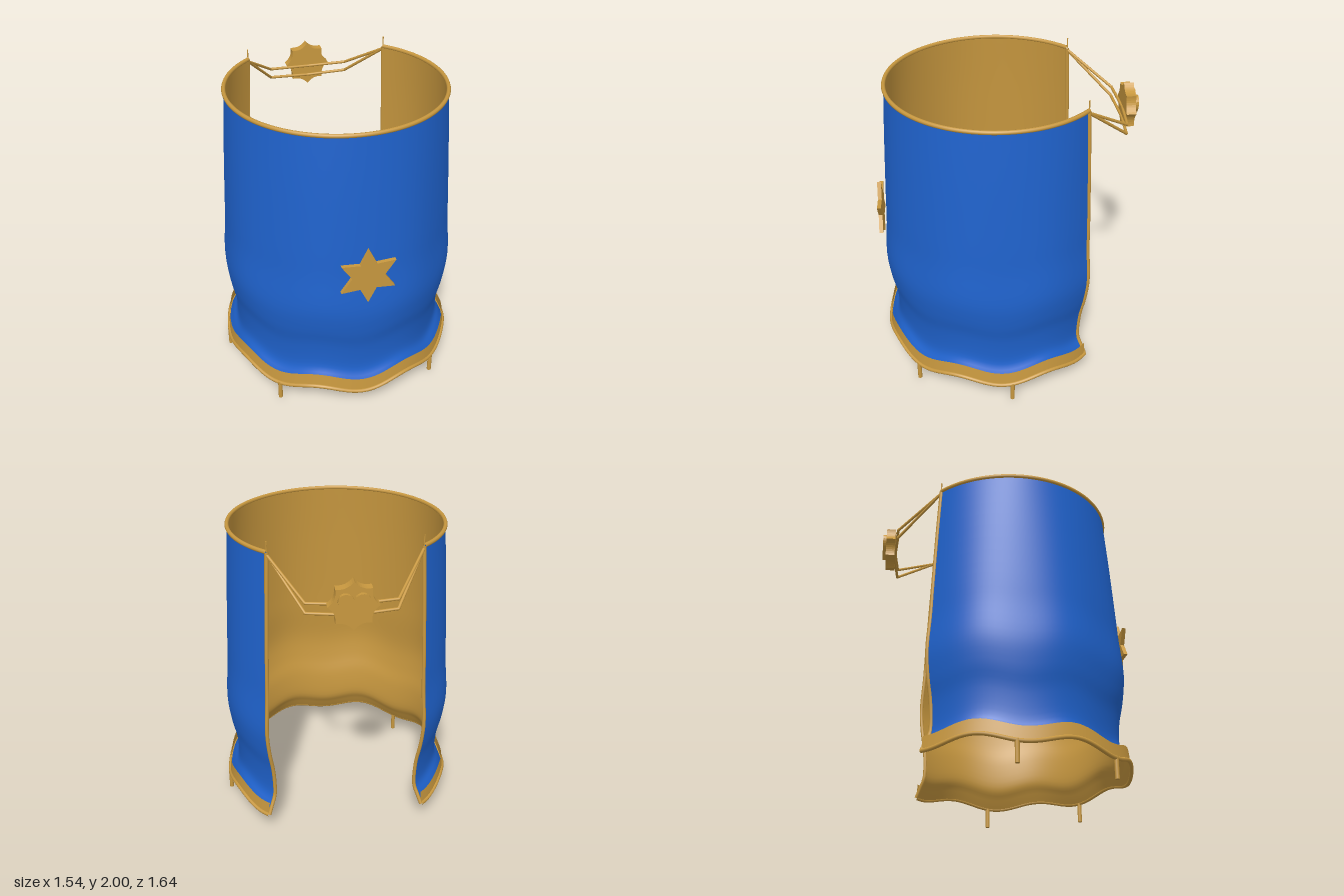
import * as THREE from 'three';

const gold = new THREE.MeshStandardMaterial({ color: 0xc8983f });
const blue = new THREE.MeshStandardMaterial({ color: 0x1f62cc });
const V = (x, y, z) => new THREE.Vector3(x, y, z);
const CZ = 0.05, TOP = 1.935, END = THREE.MathUtils.degToRad(138);

// radius against height, from hem to rim
const profile = new THREE.SplineCurve([
  [0.755, 0.14], [0.725, 0.2], [0.692, 0.28], [0.70, 0.45], [0.73, 0.6], [0.746, 0.77],
  [0.728, 1.0], [0.718, 1.2], [0.695, 1.6], [0.672, TOP],
].map(p => new THREE.Vector2(...p)));

const hem = a => 0.15 - 0.025 * Math.cos(8 * a);
const polar = (a, r, y) => V(r * Math.sin(a), y, CZ + r * Math.cos(a));

// point on the cloth: a = angle from the front, v = 0 at the hem to 1 at the rim
function clothPoint(a, v, inset = 0) {
  const p = profile.getPoint(v);
  const y = hem(a) + (TOP - hem(a)) * (p.y - 0.14) / (TOP - 0.14);
  const fold = -0.005 * Math.cos(8 * a) * Math.sin(Math.PI * v);
  return polar(a, p.x + fold - inset, y);
}

// curved sheet round the body from a point function
function sheet(point, nu, nv, inward) {
  const pos = [], index = [];
  for (let j = 0; j <= nv; j++) for (let i = 0; i <= nu; i++) {
    pos.push(...point(-END + 2 * END * i / nu, j / nv).toArray());
    if (i === nu || j === nv) continue;
    const a = j * (nu + 1) + i, b = a + 1, d = a + nu + 1, c = d + 1;
    index.push(...(inward ? [a, c, b, a, d, c] : [a, b, c, a, c, d]));
  }
  const g = new THREE.BufferGeometry();
  g.setAttribute('position', new THREE.Float32BufferAttribute(pos, 3));
  g.setIndex(index);
  g.computeVertexNormals();
  return g;
}

// tube through sampled points
function tube(fn, n, r) {
  const pts = Array.from({ length: n + 1 }, (_, i) => fn(i / n));
  return new THREE.TubeGeometry(new THREE.CatmullRomCurve3(pts), n * 2, r, 8);
}

function rod(p, q, r) {
  const g = new THREE.CylinderGeometry(r, r, p.distanceTo(q), 10);
  const dir = q.clone().sub(p).normalize();
  g.applyQuaternion(new THREE.Quaternion().setFromUnitVectors(V(0, 1, 0), dir));
  const m = p.clone().add(q).multiplyScalar(0.5);
  return g.translate(m.x, m.y, m.z);
}

const plate = (shape, depth) =>
  new THREE.ExtrudeGeometry(shape, { depth, bevelEnabled: false, curveSegments: 8 });

export function createModel() {
  const model = new THREE.Group();
  const add = (name, geometry, material = gold) => {
    const m = new THREE.Mesh(geometry, material);
    m.name = name;
    model.add(m);
    return m;
  };

  // cloth and its lining
  add('cloth', sheet((a, v) => clothPoint(a, v), 96, 40), blue);
  add('lining', sheet((a, v) => clothPoint(a, v, 0.01), 96, 40, true));

  // wavy band round the hem
  const band = add('hemBand', sheet((a, v) => polar(a, 0.757 - 0.01 * v, hem(a) + 0.09 * v), 96, 2));
  band.material = gold.clone();
  band.material.side = THREE.DoubleSide;

  // trim along rim, hem and both back edges
  const angle = t => -END + 2 * END * t;
  add('rimTrim', tube(t => clothPoint(angle(t), 1), 48, 0.013));
  add('hemTrim', tube(t => polar(angle(t), 0.757, hem(angle(t))), 64, 0.013));
  for (const s of [-1, 1]) {
    add('edgeTrim', tube(t => clothPoint(s * END, t), 24, 0.012));
    const corner = clothPoint(s * END, 1);
    add('edgePin', rod(corner, V(corner.x, 2, corner.z), 0.004));

    // legs
    for (const deg of [43, 94]) {
      const a = s * THREE.MathUtils.degToRad(deg);
      add('leg', rod(polar(a, 0.757, 0), polar(a, 0.757, 0.135), 0.014));
    }

    // two cords hanging across the open back
    for (const [y, mid] of [[1.735, 1.725], [1.675, 1.66]]) {
      const bend = V(s * 0.26, y, -0.72);
      add('cord', rod(V(corner.x, 1.92, corner.z), bend, 0.009));
      add('cord', rod(bend, V(0, mid, -0.74), 0.009));
      add('cordBend', new THREE.SphereGeometry(0.009, 8, 6).translate(...bend.toArray()));
    }
  }

  // six-pointed star on the front
  const star = new THREE.Shape(Array.from({ length: 12 }, (_, i) => {
    const r = i % 2 ? 0.1 : 0.19, a = Math.PI / 2 + i * Math.PI / 6;
    return new THREE.Vector2(r * Math.cos(a), r * Math.sin(a));
  }));
  add('frontStar', plate(star, 0.025)).position.set(0, 1.05, 0.793);

  // scalloped clasp with a heart, facing backwards
  const scallop = new THREE.Shape().moveTo(0.145, 0);
  for (let i = 1; i <= 8; i++) {
    const a = i * Math.PI / 4, m = a - Math.PI / 8;
    scallop.quadraticCurveTo(0.1 * Math.cos(m), 0.1 * Math.sin(m), 0.145 * Math.cos(a), 0.145 * Math.sin(a));
  }
  const heart = new THREE.Shape().moveTo(0, -0.085)
    .bezierCurveTo(0.04, -0.045, 0.09, -0.01, 0.09, 0.035)
    .bezierCurveTo(0.09, 0.09, 0.02, 0.095, 0, 0.045)
    .bezierCurveTo(-0.02, 0.095, -0.09, 0.09, -0.09, 0.035)
    .bezierCurveTo(-0.09, -0.01, -0.04, -0.045, 0, -0.085);
  for (const [name, shape, depth, z] of [['clasp', scallop, 0.06, -0.74], ['claspHeart', heart, 0.025, -0.798]]) {
    const m = add(name, plate(shape, depth));
    m.rotation.y = Math.PI;
    m.position.set(0, 1.74, z);
  }
  return model;
}
